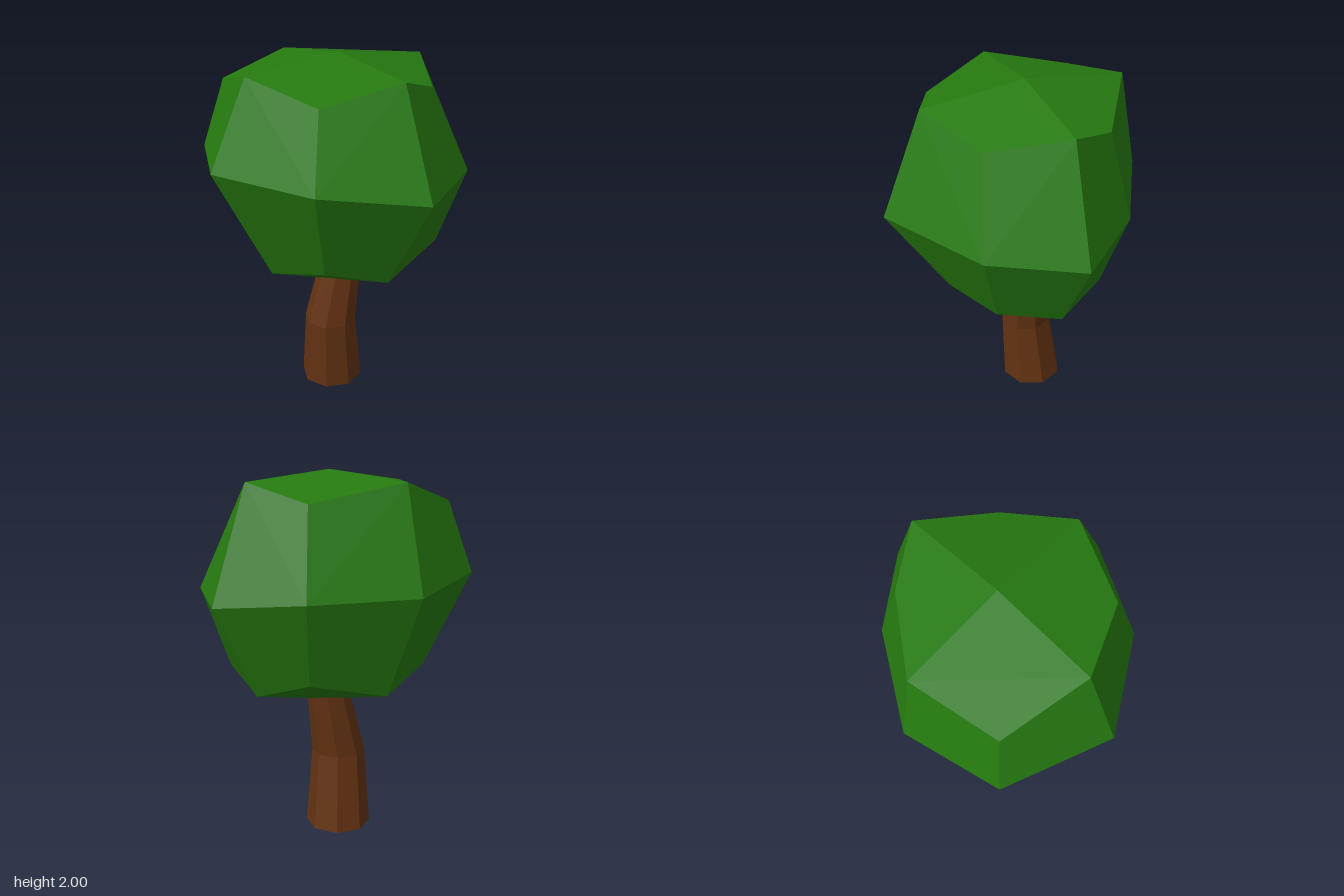
import * as THREE from 'three';

// Flat-shaded solid from quads: one shared normal per quad, split along b-d
function quadGeometry(quads) {
  const positions = [], normals = [];
  for (const [a, b, c, d] of quads) {
    const n = c.clone().sub(a).cross(d.clone().sub(b)).normalize();
    for (const p of [a, b, d, b, c, d]) {
      positions.push(p.x, p.y, p.z);
      normals.push(n.x, n.y, n.z);
    }
  }
  const g = new THREE.BufferGeometry();
  g.setAttribute('position', new THREE.Float32BufferAttribute(positions, 3));
  g.setAttribute('normal', new THREE.Float32BufferAttribute(normals, 3));
  return g;
}

// Crown: a rounded 2x2x2 block, given as three rings of eight points and two poles.
// Each ring runs left, front-left, front, front-right, right, back-right, back, back-left.
function crownGeometry() {
  const v = (p) => new THREE.Vector3(...p);
  const low = [
    [0.4, 0.85, 0], [0.28, 0.945, 0.325], [-0.05, 0.85, 0.45], [-0.42, 0.945, 0.38],
    [-0.5, 0.85, 0], [-0.33, 0.945, -0.39], [-0.05, 0.85, -0.505], [0.29, 0.945, -0.43],
  ].map(v);
  const mid = [
    [0.72, 1.395, 0], [0.44, 1.455, 0.48], [-0.05, 1.49, 0.765], [-0.6, 1.46, 0.54],
    [-0.72, 1.395, 0], [-0.42, 1.38, -0.485], [-0.05, 1.35, -0.765], [0.395, 1.375, -0.54],
  ].map(v);
  const high = [
    [0.49, 1.94, 0], [0.34, 1.84, 0.385], [-0.05, 1.94, 0.55], [-0.5, 1.84, 0.445],
    [-0.6, 1.94, 0], [-0.325, 1.84, -0.39], [-0.05, 1.94, -0.55], [0.305, 1.84, -0.335],
  ].map(v);
  const top = v([-0.05, 2, 0]), bottom = v([-0.05, 0.73, 0]);

  const quads = [];
  for (let i = 0; i < 8; i++) {
    const j = (i + 1) % 8;
    for (const [lo, hi] of [[low, mid], [mid, high]]) {
      const q = [lo[i], hi[i], hi[j], lo[j]];
      // start at a block corner or face centre so the split joins edge midpoints
      const shift = (i % 2 === 0) === (lo === low) ? 1 : 0;
      quads.push(shift ? [q[1], q[2], q[3], q[0]] : q);
    }
    if (i % 2 === 0) {
      const k = (i + 2) % 8;
      quads.push([top, high[k], high[j], high[i]]);
      quads.push([bottom, low[i], low[j], low[k]]);
    }
  }
  return quadGeometry(quads);
}

// Trunk: octagonal rings with drifting centres
function trunkGeometry() {
  const sections = [ // x, y, z, radius
    [-0.117, 0, 0.015, 0.183],
    [-0.085, 0.425, 0.045, 0.151],
    [-0.07, 0.85, -0.035, 0.114],
  ];
  const g = new THREE.CylinderGeometry(1, 1, 2, 8, 2);
  const p = g.attributes.position;
  for (let i = 0; i < p.count; i++) {
    const [x, y, z, r] = sections[Math.round(p.getY(i)) + 1];
    p.setXYZ(i, x + p.getX(i) * r, y, z + p.getZ(i) * r);
  }
  g.computeVertexNormals();
  return g;
}

export function createModel() {
  const tree = new THREE.Group();
  tree.name = 'tree';

  const trunk = new THREE.Mesh(
    trunkGeometry(),
    new THREE.MeshStandardMaterial({ color: 0x633212, flatShading: true })
  );
  trunk.name = 'trunk';

  const crown = new THREE.Mesh(
    crownGeometry(),
    new THREE.MeshStandardMaterial({ color: 0x267a10 })
  );
  crown.name = 'crown';

  tree.add(trunk, crown);
  return tree;
}
